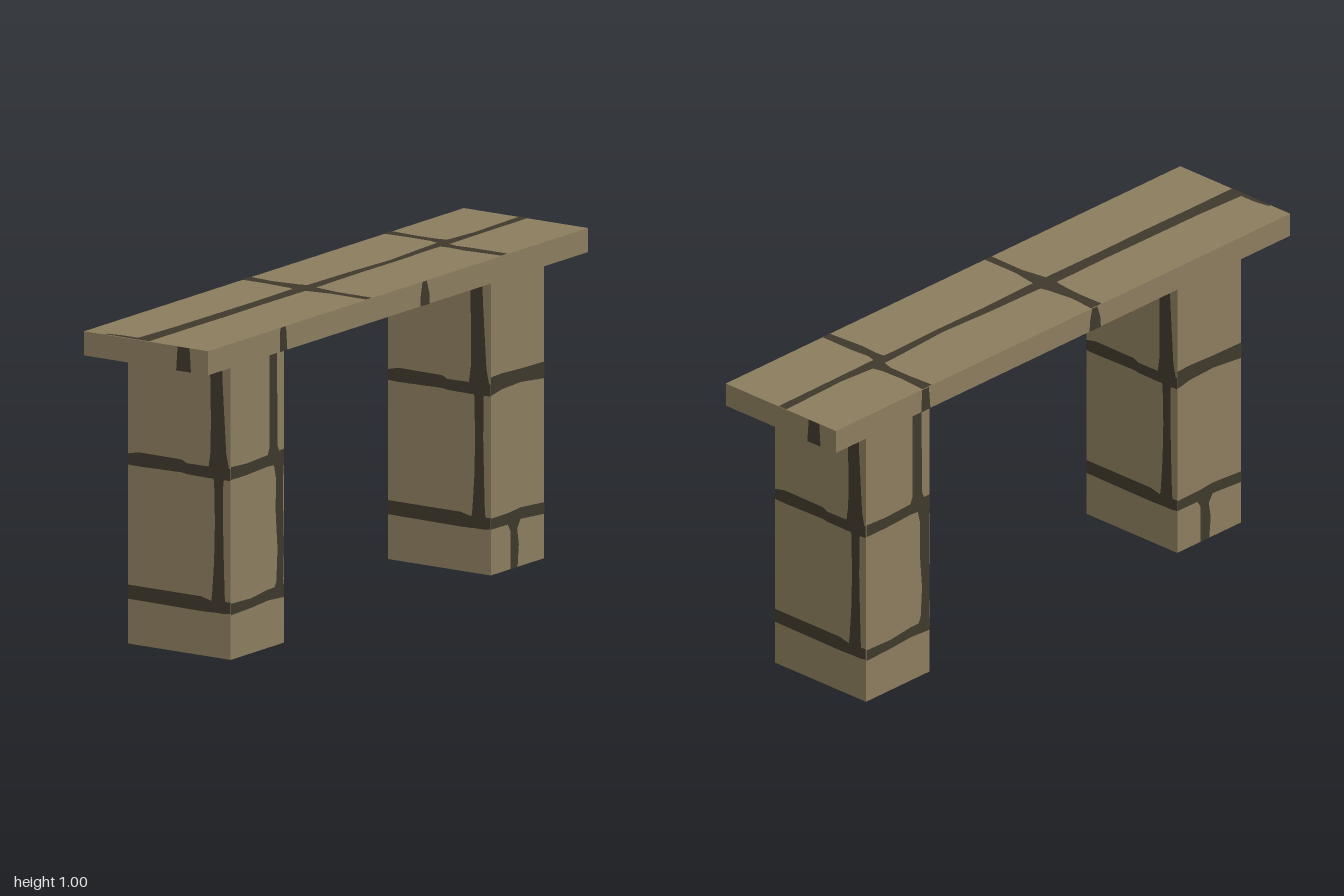
import * as THREE from 'three';

const stone = new THREE.MeshStandardMaterial({ color: 0x8c7d5e });
stone.name = 'tan stone';
const mortar = new THREE.MeshStandardMaterial({ color: 0x3f392c });
mortar.name = 'dark mortar';

const LIFT = 0.0015; // joints sit just proud of the stone

// Flat strip along a centre line of [u, v, width]; dir 'h' runs along u, 'v' along v
function strip([dir, ...pts]) {
  const side = (s) => pts.map(([u, v, w]) => dir === 'h'
    ? new THREE.Vector2(u, v + s * w / 2)
    : new THREE.Vector2(u + s * w / 2, v));
  return new THREE.Shape([...side(1), ...side(-1).reverse()]);
}

// Joints of one face; place() turns the flat strips onto it
function joints(name, strips, place) {
  const mesh = new THREE.Mesh(new THREE.ShapeGeometry(strips.map(strip)), mortar);
  mesh.name = name;
  place(mesh);
  return mesh;
}
const onFront = (z) => (m) => { m.position.z = z + LIFT; };
const onRight = (x) => (m) => { m.rotation.y = Math.PI / 2; m.position.x = x + LIFT; };
const onTop = (y) => (m) => { m.rotation.x = -Math.PI / 2; m.position.y = y + LIFT; };
const onBottom = (y) => (m) => { m.rotation.x = Math.PI / 2; m.position.y = y - LIFT; };
const flip = (strips) => strips.map(([d, ...p]) => [d, ...p.map(([u, v, w]) => [u, -v, w])]);

function block(name, w, h, d, x, y) {
  const mesh = new THREE.Mesh(new THREE.BoxGeometry(w, h, d), stone);
  mesh.name = name;
  mesh.position.set(x, y, 0);
  return mesh;
}

// Strips on the front face of the slab and legs (u = x, v = y)
const slabFront = [
  ['v', [-0.605, 0.925, 0.04], [-0.607, 1, 0.03]],
  ['v', [0.14, 0.925, 0.05], [0.14, 0.96, 0.045], [0.138, 1, 0.022]],
];
const legFront = [
  ['h', [-0.825, 0.58, 0.04], [-0.74, 0.578, 0.036], [-0.63, 0.583, 0.036], [-0.545, 0.582, 0.045]],
  ['h', [-0.825, 0.157, 0.036], [-0.72, 0.157, 0.03], [-0.63, 0.165, 0.034], [-0.545, 0.163, 0.04]],
  ['v', [-0.578, 0.15, 0.066], [-0.568, 0.2, 0.036], [-0.563, 0.3, 0.034], [-0.57, 0.42, 0.04],
    [-0.569, 0.52, 0.038], [-0.574, 0.58, 0.058]],
  ['v', [-0.6, 0.58, 0.08], [-0.601, 0.62, 0.044], [-0.602, 0.75, 0.042], [-0.603, 0.925, 0.04]],
  ['h', [0.545, 0.588, 0.058], [0.6, 0.594, 0.05], [0.7, 0.594, 0.042], [0.825, 0.587, 0.052]],
  ['h', [0.545, 0.16, 0.034], [0.64, 0.16, 0.036], [0.7, 0.165, 0.036], [0.825, 0.157, 0.036]],
  ['v', [0.665, 0, 0.038], [0.668, 0.07, 0.045], [0.664, 0.12, 0.036], [0.664, 0.155, 0.08]],
];

// Strips on the right-hand faces (u = -z, v = y)
const slabRight = [['v', [0.14, 0.925, 0.055], [0.14, 0.96, 0.05], [0.14, 1, 0.044]]];
const legRight = [
  ['h', [-0.19, 0.575, 0.034], [-0.15, 0.579, 0.044], [0.01, 0.58, 0.04], [0.03, 0.574, 0.034],
    [0.11, 0.574, 0.036], [0.19, 0.576, 0.038]],
  ['h', [-0.19, 0.162, 0.044], [0.08, 0.161, 0.046], [0.12, 0.157, 0.036], [0.19, 0.161, 0.036]],
  ['v', [0.145, 0.14, 0.06], [0.146, 0.2, 0.046], [0.148, 0.3, 0.036], [0.148, 0.42, 0.03],
    [0.147, 0.55, 0.034], [0.147, 0.58, 0.06]],
  ['v', [0.148, 0.58, 0.08], [0.146, 0.64, 0.058], [0.143, 0.75, 0.05], [0.139, 0.85, 0.046], [0.137, 0.925, 0.044]],
];

// Strips on the top of the slab (u = x, v = -z)
const slabTop = [
  ['h', [-1, 0.016, 0.055], [-0.8, 0.012, 0.046], [-0.6, 0.01, 0.046], [-0.4, 0.01, 0.042],
    [-0.2, 0.01, 0.046], [-0.1, 0.006, 0.04], [0.1, 0.006, 0.032], [0.3, 0, 0.024],
    [0.5, 0.008, 0.032], [0.6, 0.008, 0.04], [0.75, 0.003, 0.026], [1, 0.008, 0.032]],
  ['v', [-0.99, 0.02, 0.02], [-0.99, 0.1, 0.017], [-0.995, 0.15, 0.01]],
  ['v', [-0.15, 0.01, 0.08], [-0.148, 0.05, 0.055], [-0.15, 0.14, 0.036], [-0.147, 0.23, 0.045]],
  ['v', [-0.153, -0.23, 0.03], [-0.152, -0.1, 0.028], [-0.152, 0, 0.06]],
  ['v', [0.595, 0.01, 0.06], [0.598, 0.06, 0.034], [0.597, 0.14, 0.03], [0.598, 0.23, 0.042]],
  ['v', [0.56, -0.23, 0.032], [0.556, -0.1, 0.042], [0.556, -0.04, 0.032], [0.56, 0.005, 0.05]],
];
// The same joints where they cross the feet of the legs
const feet = [
  ['h', [-0.825, 0.012, 0.046], [-0.545, 0.01, 0.046]],
  ['h', [0.545, 0.008, 0.036], [0.6, 0.008, 0.04], [0.75, 0.003, 0.028], [0.825, 0.004, 0.03]],
  ['v', [0.597, 0.01, 0.06], [0.598, 0.06, 0.034], [0.598, 0.19, 0.036]],
  ['v', [0.56, -0.19, 0.03], [0.56, 0, 0.03]],
];

export function createModel() {
  const model = new THREE.Group();
  model.name = 'stoneBench';

  // Seat slab on two square piers
  model.add(block('seatSlab', 2, 0.075, 0.46, 0, 0.9625));
  for (const s of [1, -1]) {
    model.add(block(s > 0 ? 'leftLeg' : 'rightLeg', 0.28, 0.925, 0.38, s * 0.685, 0.4625));
  }

  // Side joints repeat under a half turn
  for (const [name, angle] of [['frontJoints', 0], ['backJoints', Math.PI]]) {
    const half = new THREE.Group();
    half.name = name;
    half.rotation.y = angle;
    half.add(
      joints('slabEdgeJoints', slabFront, onFront(0.23)),
      joints('legFaceJoints', legFront, onFront(0.19)),
      joints('slabEndJoints', slabRight, onRight(1)),
      joints('outerLegJoints', legRight, onRight(0.825)),
      joints('innerLegJoints', legRight, onRight(-0.545)),
    );
    model.add(half);
  }

  // Top, underside and feet share one joint layout
  model.add(
    joints('topJoints', slabTop, onTop(1)),
    joints('undersideJoints', flip(slabTop), onBottom(0.925)),
    joints('footJoints', flip(feet), onBottom(0)),
  );
  // Rest the feet on the ground
  model.position.y = LIFT;
  return model;
}
